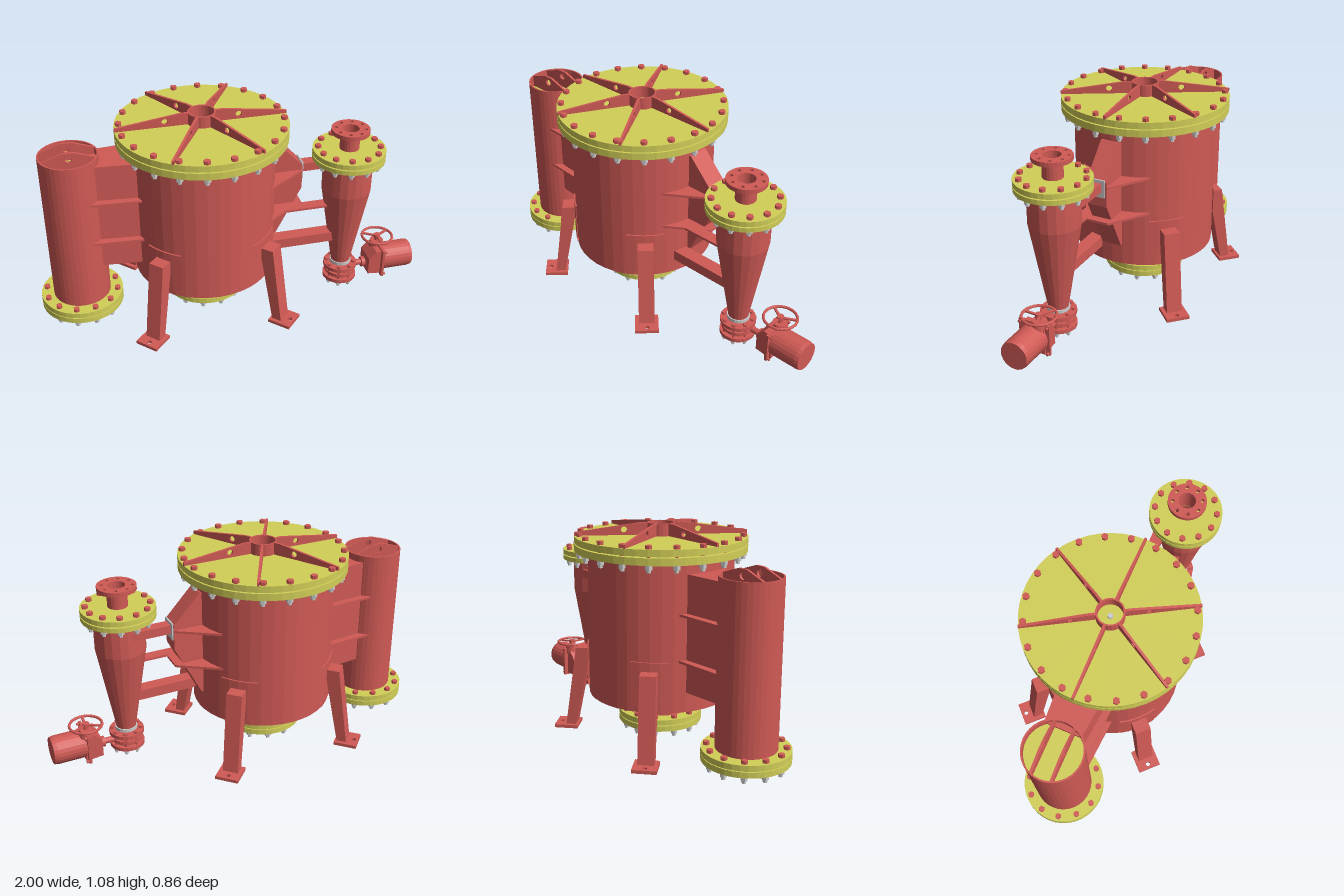
import * as THREE from 'three';

const RED = 0xd05a55, YELLOW = 0xd2cf58, GREY = 0xcccccc;
const mats = {};
const mat = (color) => (mats[color] ??= new THREE.MeshStandardMaterial({ color, flatShading: true, side: THREE.DoubleSide }));

function add(parent, name, geo, color = RED, x = 0, y = 0, z = 0) {
  const m = new THREE.Mesh(geo, mat(color));
  m.name = name;
  m.position.set(x, y, z);
  parent.add(m);
  return m;
}
function group(parent, name, x = 0, y = 0, z = 0) {
  const g = new THREE.Group();
  g.name = name;
  g.position.set(x, y, z);
  parent.add(g);
  return g;
}
const v2 = (pts) => pts.map(([x, y]) => new THREE.Vector2(x, y));
const lathe = (pts, seg = 36) => new THREE.LatheGeometry(v2(pts), seg);
const ring = (r0, r1, y0, y1, seg = 36) => lathe([[r0, y0], [r1, y0], [r1, y1], [r0, y1], [r0, y0]], seg);
const tube = (r, y0, y1, seg = 36) => ring(r - 0.008, r, y0, y1, seg);
const box = (x, y, z) => new THREE.BoxGeometry(x, y, z);

// Upright plate in the x-y plane, centred on z = 0, with optional round holes [x, y, r]
function slab(pts, depth, holes = []) {
  const s = new THREE.Shape(v2(pts));
  for (const [x, y, r] of holes) s.holes.push(new THREE.Path().absarc(x, y, r, 0, Math.PI * 2, true));
  return new THREE.ExtrudeGeometry(s, { depth, bevelEnabled: false, curveSegments: 10 }).translate(0, 0, -depth / 2);
}
// Level plate: points are (x, z), spanning y0 to y1
const plate = (pts, y0, y1, holes) =>
  slab(pts, y1 - y0, holes).rotateX(Math.PI / 2).translate(0, (y0 + y1) / 2, 0);

// Circle of bolts: head on top, nut and thread end below
function bolts(parent, n, r, yTop, yBottom, s) {
  const head = new THREE.CylinderGeometry(s, s, s, 6);
  const shank = new THREE.CylinderGeometry(s * 0.55, s * 0.55, yTop - yBottom + s * 1.2, 8);
  const nut = new THREE.CylinderGeometry(s * 1.05, s * 1.05, s * 1.3, 6);
  const tip = new THREE.CylinderGeometry(s * 0.65, s * 0.65, s * 0.8, 8);
  for (let i = 0; i < n; i++) {
    const a = ((i + 0.5) / n) * Math.PI * 2;
    const b = group(parent, 'bolt', Math.cos(a) * r, 0, Math.sin(a) * r);
    add(b, 'boltHead', head, RED, 0, yTop + s / 2);
    add(b, 'boltShank', shank, RED, 0, (yTop + yBottom) / 2);
    add(b, 'nut', nut, GREY, 0, yBottom - s * 0.65);
    add(b, 'boltEnd', tip, GREY, 0, yBottom - s * 1.7);
  }
}

// Open pair of pipe flanges with a gasket, shared by both bottom outlets
function outletFlange(parent) {
  add(parent, 'upperFlange', ring(0.14, 0.21, 0.104, 0.132), YELLOW);
  add(parent, 'lowerFlange', ring(0.14, 0.21, 0.072, 0.1), YELLOW);
  add(parent, 'gasket', ring(0.138, 0.17, 0.098, 0.106));
  bolts(parent, 12, 0.184, 0.132, 0.072, 0.016);
}

function buildVessel(root) {
  const g = group(root, 'mainVessel', -0.137);
  add(g, 'vesselShell', tube(0.361, 0.228, 0.96, 40));
  add(g, 'bottomPlate', ring(0.14, 0.356, 0.245, 0.255), YELLOW);
  add(g, 'bottomNozzle', tube(0.146, 0.075, 0.26));
  outletFlange(g);

  // Bolted cover with six radial ribs around a short hub
  add(g, 'shellFlange', ring(0.35, 0.425, 0.95, 0.985, 48), YELLOW);
  add(g, 'coverGasket', ring(0.35, 0.385, 0.983, 0.993, 48));
  add(g, 'cover', new THREE.CylinderGeometry(0.425, 0.425, 0.032, 48), YELLOW, 0, 1.007);
  bolts(g, 20, 0.402, 1.023, 0.95, 0.017);
  add(g, 'coverHub', tube(0.069, 1.02, 1.083, 24));
  add(g, 'ventPlug', new THREE.CylinderGeometry(0.013, 0.013, 0.02, 10), GREY, 0, 1.03);
  const rib = slab([[0.066, 1.022], [0.066, 1.083], [0.104, 1.083], [0.425, 1.04], [0.425, 1.022]], 0.012, [[0.182, 1.049, 0.015]]);
  for (let i = 0; i < 6; i++) add(g, 'coverRib', rib).rotation.y = (i * Math.PI) / 3;

  // Four splayed legs with curved pads and foot plates
  const leg = slab([[0.44, 0.01], [0.49, 0.01], [0.43, 0.434], [0.355, 0.434]], 0.08);
  const foot = plate([[0.427, -0.06], [0.547, -0.06], [0.547, 0.06], [0.427, 0.06]], 0, 0.017, [[0.522, 0, 0.012]]);
  const pad = new THREE.LatheGeometry(v2([[0.355, 0.26], [0.369, 0.26], [0.369, 0.478], [0.355, 0.478], [0.355, 0.26]]), 4, Math.PI / 3, Math.PI / 6);
  pad.rotateY(0);
  for (let i = 0; i < 4; i++) {
    const l = group(g, 'leg');
    l.rotation.y = Math.PI / 4 + (i * Math.PI) / 2;
    add(l, 'legBeam', leg);
    add(l, 'footPlate', foot);
    add(l, 'legPad', pad).rotation.y = Math.PI / 12;
  }
}

function buildSideColumn(root) {
  const g = group(root, 'sideColumn', -0.79);
  add(g, 'columnShell', tube(0.146, 0.075, 0.932));
  add(g, 'columnCap', new THREE.CylinderGeometry(0.14, 0.14, 0.012, 36), YELLOW, 0, 0.87);
  outletFlange(g);
  // Pair of lifting plates
  const lug = slab([[-0.13, 0.875], [0.13, 0.875], [0.13, 0.932], [0.025, 0.968], [-0.025, 0.968], [-0.13, 0.932]], 0.012, [[0, 0.937, 0.018]]);
  for (const s of [-1, 1]) add(g, 'liftingPlate', lug, RED, 0, 0, s * 0.05);

  // Tapered duct to the vessel with level stiffeners
  add(root, 'columnDuct', plate([[-0.68, -0.09], [-0.46, -0.11], [-0.46, 0.11], [-0.68, 0.09]], 0.326, 0.896));
  for (const y of [0.705, 0.48])
    add(root, 'ductStiffener', plate([[-0.72, -0.125], [-0.467, -0.142], [-0.467, 0.142], [-0.72, 0.125]], y - 0.006, y + 0.006));
}

function buildHopper(root) {
  const g = group(root, 'inletHopper');
  add(g, 'hopperBody', slab([[0.2, 0.89], [0.23, 0.89], [0.37, 0.74], [0.37, 0.61], [0.23, 0.335], [0.2, 0.335]], 0.105));
  for (const y of [0.71, 0.52])
    add(g, 'hopperStiffener', plate([[0.15, -0.2], [0.37, -0.055], [0.37, 0.055], [0.15, 0.2]], y - 0.006, y + 0.006));
  add(g, 'mouthFrame', box(0.008, 0.09, 0.09), GREY, 0.373, 0.705);
  add(g, 'cycloneInlet', box(0.24, 0.045, 0.057), RED, 0.48, 0.712);
  add(g, 'thinStrut', box(0.3, 0.012, 0.06), RED, 0.35, 0.52, 0.095);
  add(g, 'supportBeam', box(0.36, 0.054, 0.07), RED, 0.36, 0.327, 0.095);
}

function buildCyclone(root) {
  const g = group(root, 'cyclone', 0.598, 0, 0.095);
  add(g, 'cycloneBody', lathe([[0.05, 0.14], [0.052, 0.16], [0.127, 0.604], [0.127, 0.79]], 20));
  add(g, 'bodyFlange', ring(0.12, 0.185, 0.78, 0.804), YELLOW);
  add(g, 'bodyGasket', ring(0.12, 0.145, 0.8, 0.812));
  add(g, 'topFlange', ring(0.046, 0.185, 0.81, 0.836), YELLOW);
  bolts(g, 12, 0.157, 0.836, 0.78, 0.016);
  add(g, 'outletPipe', ring(0.043, 0.05, 0.82, 0.94, 20));
  const shape = new THREE.Shape().absarc(0, 0, 0.097, 0, Math.PI * 2);
  const hole = (x, y, r) => shape.holes.push(new THREE.Path().absarc(x, y, r, 0, Math.PI * 2, true));
  hole(0, 0, 0.043);
  for (let i = 0; i < 8; i++) {
    const a = ((i + 0.5) * Math.PI) / 4;
    hole(Math.cos(a) * 0.074, Math.sin(a) * 0.074, 0.01);
  }
  const fl = new THREE.ExtrudeGeometry(shape, { depth: 0.022, bevelEnabled: false, curveSegments: 16 }).rotateX(-Math.PI / 2);
  add(g, 'outletFlange', fl, RED, 0, 0.923);

  // Discharge valve
  add(g, 'neckRing', ring(0.045, 0.057, 0.138, 0.155, 20), GREY);
  for (const y of [0.043, 0.112]) add(g, 'valveFlange', ring(0.043, 0.09, y, y + 0.02, 24));
  add(g, 'valveBody', ring(0.043, 0.068, 0.06, 0.116, 24));
  add(g, 'valveCollar', ring(0.043, 0.082, 0.08, 0.095, 24));
  bolts(g, 8, 0.074, 0.132, 0.043, 0.012);
}

function buildActuator(root) {
  const g = group(root, 'valveActuator', 0, 0.115, 0.083);
  const alongX = (r0, r1, len) => new THREE.CylinderGeometry(r1, r0, len, 24).rotateZ(-Math.PI / 2);
  add(g, 'stem', alongX(0.016, 0.016, 0.12), RED, 0.71, -0.022);
  add(g, 'stemCollar', alongX(0.028, 0.028, 0.02), RED, 0.735, -0.022);
  add(g, 'gearHousing', slab([[0.75, -0.065], [0.84, -0.075], [0.84, 0.07], [0.79, 0.07], [0.75, 0.03]], 0.12));
  add(g, 'mountingPlate', box(0.014, 0.16, 0.165), RED, 0.825);
  add(g, 'motor', alongX(0.074, 0.074, 0.15), RED, 0.905);
  add(g, 'motorCap', alongX(0.074, 0.07, 0.022), RED, 0.989);
  for (const y of [-1, 1]) for (const z of [-1, 1]) add(g, 'plateScrew', alongX(0.007, 0.007, 0.012), RED, 0.838, y * 0.07, z * 0.073);

  // Handwheel on its bonnet
  const w = group(g, 'handwheel', 0.82, 0.12, -0.025);
  add(w, 'wheelRim', new THREE.TorusGeometry(0.082, 0.007, 8, 28).rotateX(Math.PI / 2));
  for (let i = 0; i < 3; i++) add(w, 'wheelSpoke', box(0.082, 0.008, 0.012).translate(0.041, 0, 0)).rotation.y = (i * Math.PI * 2) / 3 + 0.5;
  add(w, 'wheelHub', new THREE.CylinderGeometry(0.018, 0.018, 0.02, 12));
  add(w, 'wheelStem', new THREE.CylinderGeometry(0.012, 0.012, 0.08, 10), RED, 0, -0.035);
  add(w, 'bonnet', new THREE.CylinderGeometry(0.036, 0.042, 0.04, 16), RED, 0, -0.045);
}

export function createModel() {
  const root = new THREE.Group();
  root.name = 'filterVesselWithCyclone';
  buildVessel(root);
  buildSideColumn(root);
  buildHopper(root);
  buildCyclone(root);
  buildActuator(root);
  return root;
}
